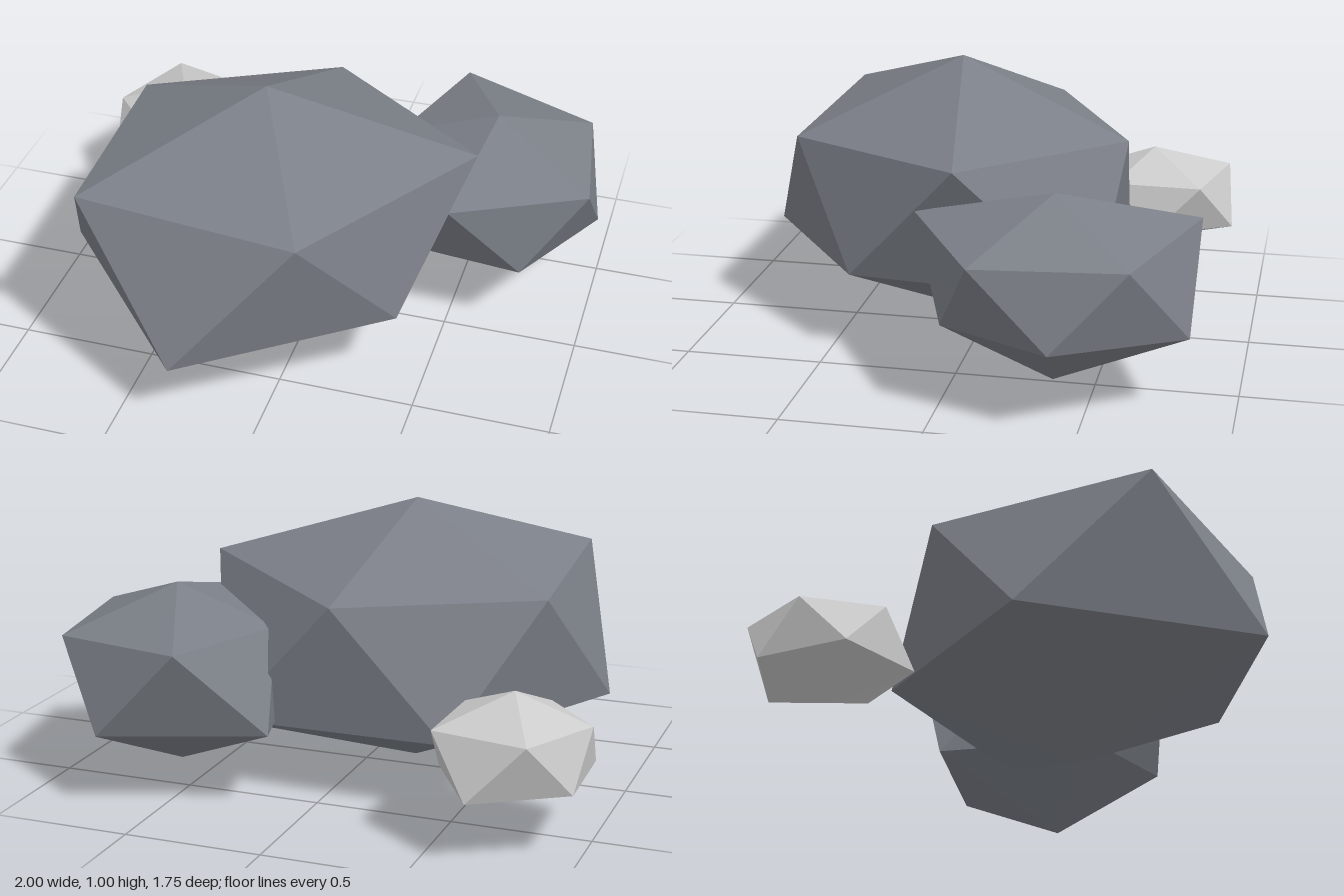
import * as THREE from 'three';

// A faceted boulder: a top and bottom point joined by two rings of five corners.
// Rings run clockwise seen from above; each lower corner sits between two upper ones.
function createRock(name, color, top, upper, lower, bottom) {
  const positions = [];
  const tri = (...corners) => corners.forEach((c) => positions.push(...c));
  const n = upper.length;
  for (let i = 0; i < n; i++) {
    const j = (i + 1) % n;
    tri(top, upper[j], upper[i]);
    tri(upper[i], upper[j], lower[i]);
    tri(upper[j], lower[j], lower[i]);
    tri(bottom, lower[i], lower[j]);
  }
  const geometry = new THREE.BufferGeometry();
  geometry.setAttribute('position', new THREE.Float32BufferAttribute(positions, 3));
  geometry.computeVertexNormals();
  const mesh = new THREE.Mesh(geometry, new THREE.MeshStandardMaterial({ color, flatShading: true }));
  mesh.name = name;
  return mesh;
}

export function createModel() {
  const group = new THREE.Group();
  group.name = 'rockCluster';
  const darkStone = 0x7b7f87;
  const paleStone = 0xcccccc;

  // Large boulder in front
  group.add(createRock('largeRock', darkStone,
    [-0.16, 1.0, 0.11],
    [[0.59, 0.77, -0.01], [0.12, 0.73, 0.68], [-0.69, 0.77, 0.64], [-0.74, 0.735, -0.18], [-0.06, 0.73, -0.53]],
    [[0.41, 0.31, 0.41], [-0.285, 0.275, 0.875], [-0.88, 0.29, 0.22], [-0.47, 0.27, -0.49], [0.37, 0.26, -0.47]],
    [-0.16, 0, 0.11]));

  // Medium boulder leaning in from the back
  group.add(createRock('mediumRock', darkStone,
    [0.595, 0.725, -0.365],
    [[0.985, 0.575, -0.14], [0.52, 0.605, 0.14], [0.215, 0.59, -0.355], [0.38, 0.6, -0.845], [0.91, 0.57, -0.66]],
    [[0.77, 0.29, -0.005], [0.28, 0.28, -0.07], [0.125, 0.28, -0.64], [0.69, 0.275, -0.84], [0.995, 0.3, -0.41]],
    [0.595, 0.05, -0.365]));

  // Small pale stone
  group.add(createRock('smallRock', paleStone,
    [-0.735, 0.52, -0.555],
    [[-0.51, 0.42, -0.76], [-0.52, 0.42, -0.42], [-0.8, 0.42, -0.315], [-1.0, 0.42, -0.535], [-0.86, 0.43, -0.85]],
    [[-0.48, 0.235, -0.58], [-0.64, 0.235, -0.29], [-0.97, 0.235, -0.355], [-0.98, 0.235, -0.705], [-0.665, 0.225, -0.88]],
    [-0.735, 0.135, -0.555]));

  return group;
}
